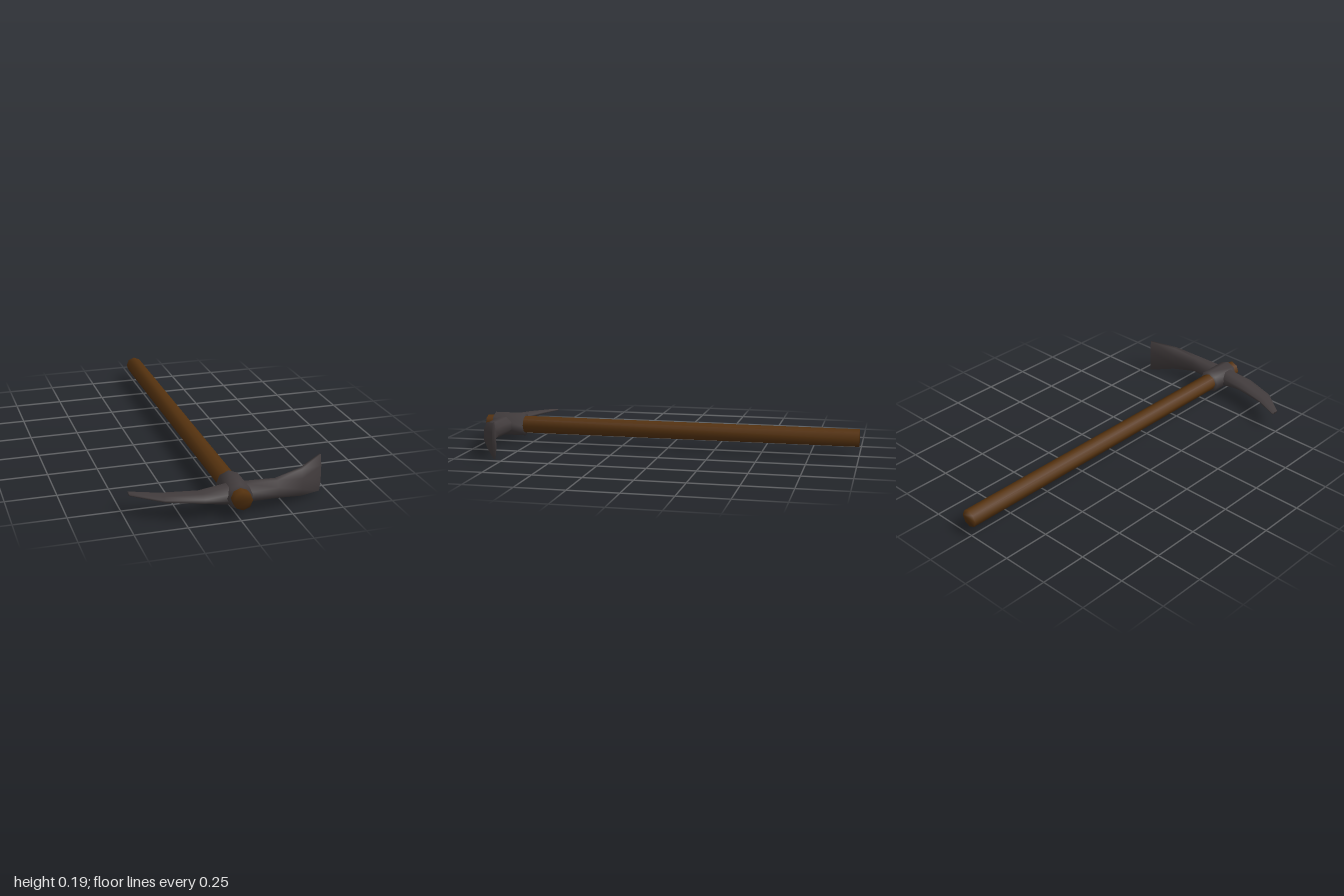
import * as THREE from 'three';

const SIDES = 8;

// Closed loft of eight-sided rings with shared, smooth normals.
// Each ring: centre c, half-axes u and v (u x v points along the loft).
function loft(rings, phase, grow = 1) {
  const pos = [], idx = [];
  for (const { c, u, v } of rings) {
    for (let j = 0; j < SIDES; j++) {
      const a = phase + (j / SIDES) * Math.PI * 2;
      const p = c.clone()
        .addScaledVector(u, Math.cos(a) * grow)
        .addScaledVector(v, Math.sin(a) * grow);
      pos.push(p.x, p.y, p.z);
    }
  }
  for (let i = 0; i < rings.length - 1; i++) {
    for (let j = 0; j < SIDES; j++) {
      const k = (j + 1) % SIDES;
      const a = i * SIDES + j, b = i * SIDES + k;
      idx.push(a, b, b + SIDES, a, b + SIDES, a + SIDES);
    }
  }
  // end caps
  const last = (rings.length - 1) * SIDES;
  for (let j = 1; j < SIDES - 1; j++) {
    idx.push(0, j + 1, j, last, last + j, last + j + 1);
  }
  const g = new THREE.BufferGeometry();
  g.setAttribute('position', new THREE.Float32BufferAttribute(pos, 3));
  g.setIndex(idx);
  g.computeVertexNormals();
  return g;
}

const V = (x, y, z) => new THREE.Vector3(x, y, z);

// Octagonal rod along z
function rod(radius, z0, z1) {
  const ring = (z) => ({ c: V(0.008, 0.097, z), u: V(radius, 0, 0), v: V(0, radius, 0) });
  return loft([ring(z0), ring(z1)], 0);
}

export function createModel() {
  const wood = new THREE.MeshStandardMaterial({ color: 0x55320f });
  wood.name = 'dark wood';
  const iron = new THREE.MeshStandardMaterial({ color: 0x423c3d });
  iron.name = 'dark iron';

  const group = new THREE.Group();
  group.name = 'pickaxe';
  const add = (name, geometry, material) => {
    const mesh = new THREE.Mesh(geometry, material);
    mesh.name = name;
    group.add(mesh);
  };

  add('handle', rod(0.046, -1, 1), wood);
  add('collar', rod(0.062, 0.79, 0.957), iron);

  // Head sections from pick tip to adze edge: x, back z, front z, half height
  const sections = [
    [-0.468, 0.755, 0.797, 0.005],
    [-0.33, 0.815, 0.905, 0.012],
    [-0.16, 0.85, 0.957, 0.024],
    [-0.04, 0.85, 0.955, 0.044],
    [0.06, 0.85, 0.955, 0.044],
    [0.2, 0.866, 0.945, 0.044],
    [0.335, 0.845, 0.9, 0.068],
    [0.461, 0.787, 0.806, 0.095],
  ];
  const rings = sections.map(([x, zb, zf, hy], i) => ({
    c: V(x, 0.0955 - (hy > 0.09 ? 0.0005 : 0), (zb + zf) / 2),
    u: V(0, hy, 0),
    // the adze edge is slightly slanted
    v: V(i === sections.length - 1 ? 0.005 : 0, 0, (zf - zb) / 2),
  }));
  add('head', loft(rings, Math.PI / 8, 1 / Math.cos(Math.PI / 8)), iron);

  return group;
}
